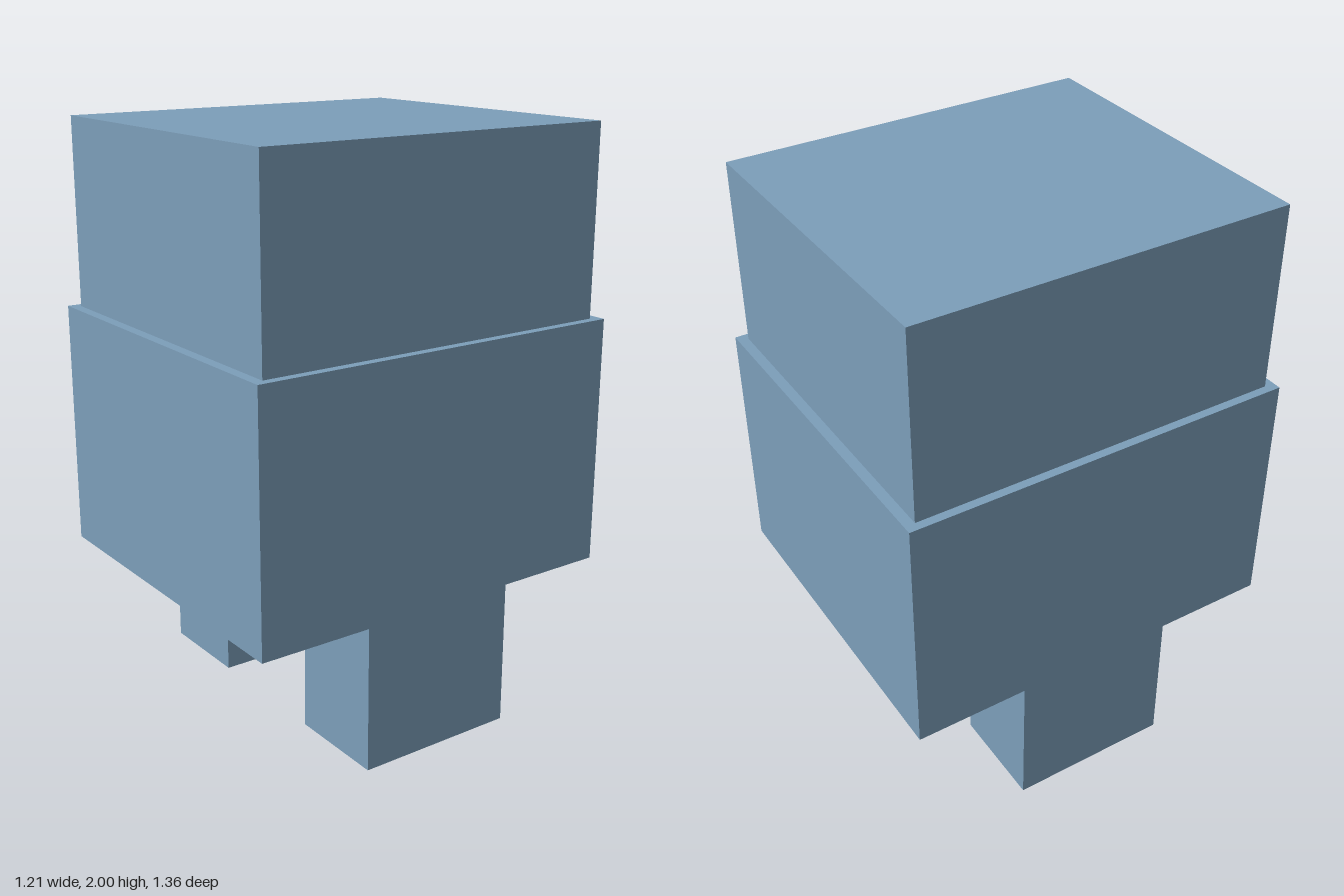
import * as THREE from 'three';

export function createModel() {
  const model = new THREE.Group();
  model.name = 'blockFigure';
  const blue = new THREE.MeshStandardMaterial({ name: 'dusty blue', color: 0x7c9eb9 });

  // Box spanning bottom to top, centred on z
  function block(name, width, bottom, top, depth, x = 0) {
    const mesh = new THREE.Mesh(new THREE.BoxGeometry(width, top - bottom, depth), blue);
    mesh.name = name;
    mesh.position.set(x, (bottom + top) / 2, 0);
    model.add(mesh);
  }

  // Upper block, slightly inset from the body
  block('head', 1.15, 1.355, 2, 1.29);
  block('body', 1.21, 0.5, 1.355, 1.36);

  // Legs flush with the body's sides
  for (const side of [-1, 1]) {
    block(side > 0 ? 'leftLeg' : 'rightLeg', 0.355, 0, 0.5, 0.57, side * 0.4275);
  }
  return model;
}
